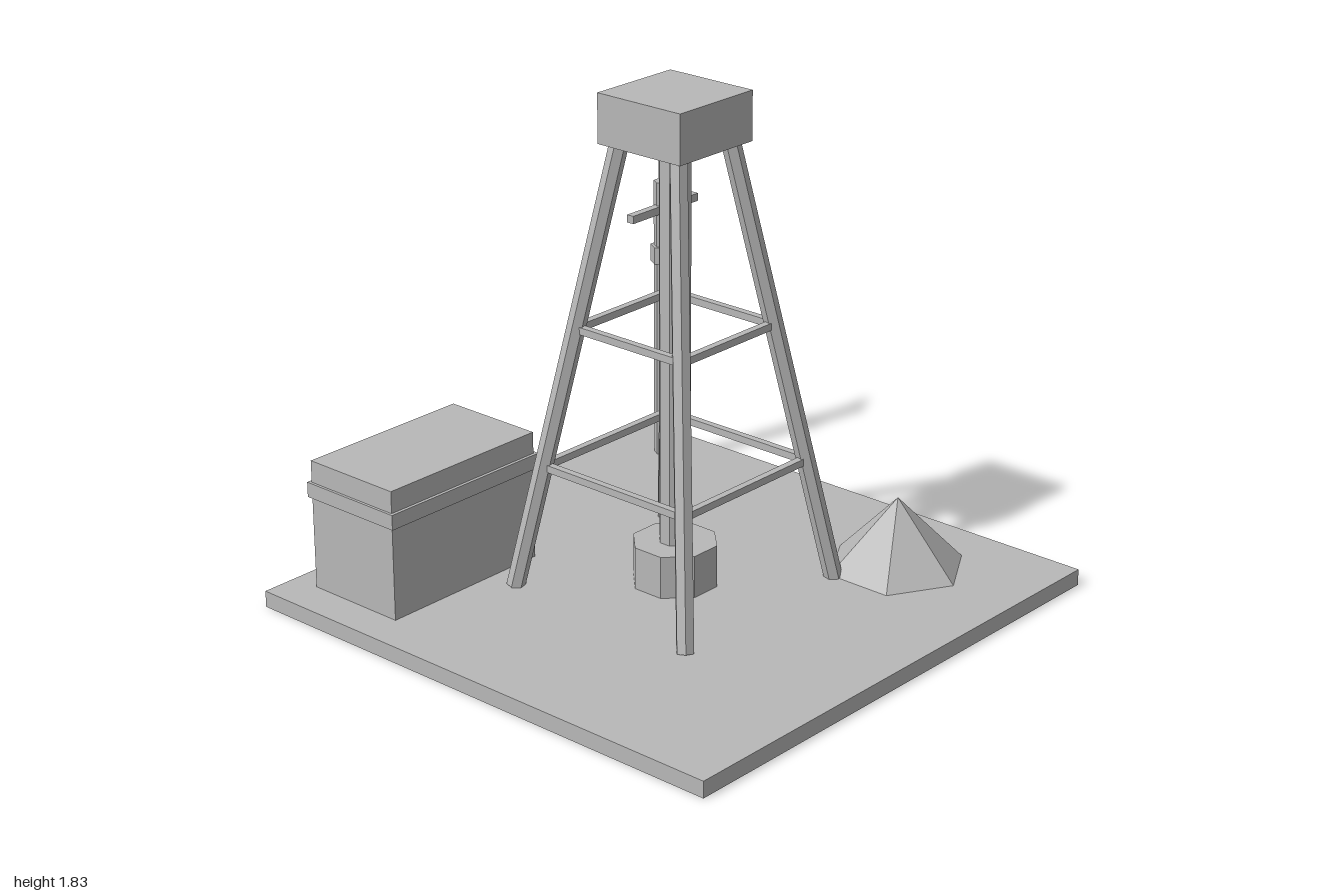
import * as THREE from 'three';

const V = (x, y, z) => new THREE.Vector3(x, y, z);

export function createModel() {
  const model = new THREE.Group();
  model.name = 'drillingSite';
  const grey = new THREE.MeshStandardMaterial({ color: 0xb8b8b8, flatShading: true, side: THREE.DoubleSide });
  grey.name = 'plain grey';

  function add(name, geometry, x = 0, y = 0, z = 0) {
    const mesh = new THREE.Mesh(geometry, grey);
    mesh.name = name;
    mesh.position.set(x, y, z);
    model.add(mesh);
    return mesh;
  }

  // Box given by its ranges; an open one has no bottom face
  function box(name, [x0, x1], [y0, y1], [z0, z1], open = false) {
    const g = new THREE.BoxGeometry(x1 - x0, y1 - y0, z1 - z0);
    if (open) {
      const index = Array.from(g.index.array);
      index.splice(18, 6);
      g.setIndex(index);
      g.clearGroups();
    }
    return add(name, g, (x0 + x1) / 2, (y0 + y1) / 2, (z0 + z1) / 2);
  }

  // Upright prism; turn rotates its corners about the axis
  function prism(name, r, sides, y0, y1, turn, x = 0, z = 0) {
    const g = new THREE.CylinderGeometry(r, r, y1 - y0, sides).rotateY(turn);
    return add(name, g, x, (y0 + y1) / 2, z);
  }

  // Ground slab and tower cap, hollow underneath
  box('groundSlab', [-1, 1], [0, 0.06], [-1, 1], true);
  box('towerCap', [-0.18, 0.18], [1.65, 1.825], [-0.18, 0.18], true);

  // Central column and its footing
  prism('column', 0.057, 8, 0.06, 1.68, Math.PI / 8);
  prism('columnFooting', 0.153, 8, 0.06, 0.215, Math.PI / 8);

  // Four leaning legs
  const legOffset = (y) => 0.39 - 0.1635 * (y - 0.06);
  for (const sx of [-1, 1]) {
    for (const sz of [-1, 1]) {
      const [y0, y1] = [0.058, 1.68];
      const a = V(sx * legOffset(y0), y0, sz * legOffset(y0));
      const b = V(sx * legOffset(y1), y1, sz * legOffset(y1));
      const along = b.clone().sub(a);
      const g = new THREE.CylinderGeometry(0.033, 0.033, along.length(), 6);
      g.rotateY(Math.atan2(sx, sz));
      const leg = add('towerLeg', g);
      leg.position.copy(a).add(b).multiplyScalar(0.5);
      leg.quaternion.setFromUnitVectors(V(0, 1, 0), along.normalize());
    }
  }

  // Two rings of cross braces
  const t = 0.013;
  for (const y of [0.505, 1.005]) {
    const d = legOffset(y);
    for (const s of [-1, 1]) {
      box('braceAcross', [-d, d], [y - t, y + t], [s * d - t, s * d + t]);
      box('braceAlong', [s * d - t, s * d + t], [y - t, y + t], [-d, d]);
    }
  }

  // Shed with a trim band
  box('shed', [-0.86, -0.18], [0.06, 0.535], [-0.893, -0.5]);
  box('shedTrim', [-0.87, -0.167], [0.4, 0.455], [-0.905, -0.488]);

  // Utility pole with collar and crossbar
  prism('pole', 0.035, 6, 0.055, 1.145, Math.PI / 6, 0.82, -0.785);
  prism('poleCollar', 0.048, 6, 0.83, 0.895, Math.PI / 6, 0.82, -0.785);
  box('poleCrossbar', [0.64, 1], [1.025, 1.055], [-0.8, -0.77]);

  // Six-sided spoil heap
  add('spoilHeap', new THREE.ConeGeometry(0.25, 0.26, 6), 0.605, 0.19, 0.5);

  return model;
}
